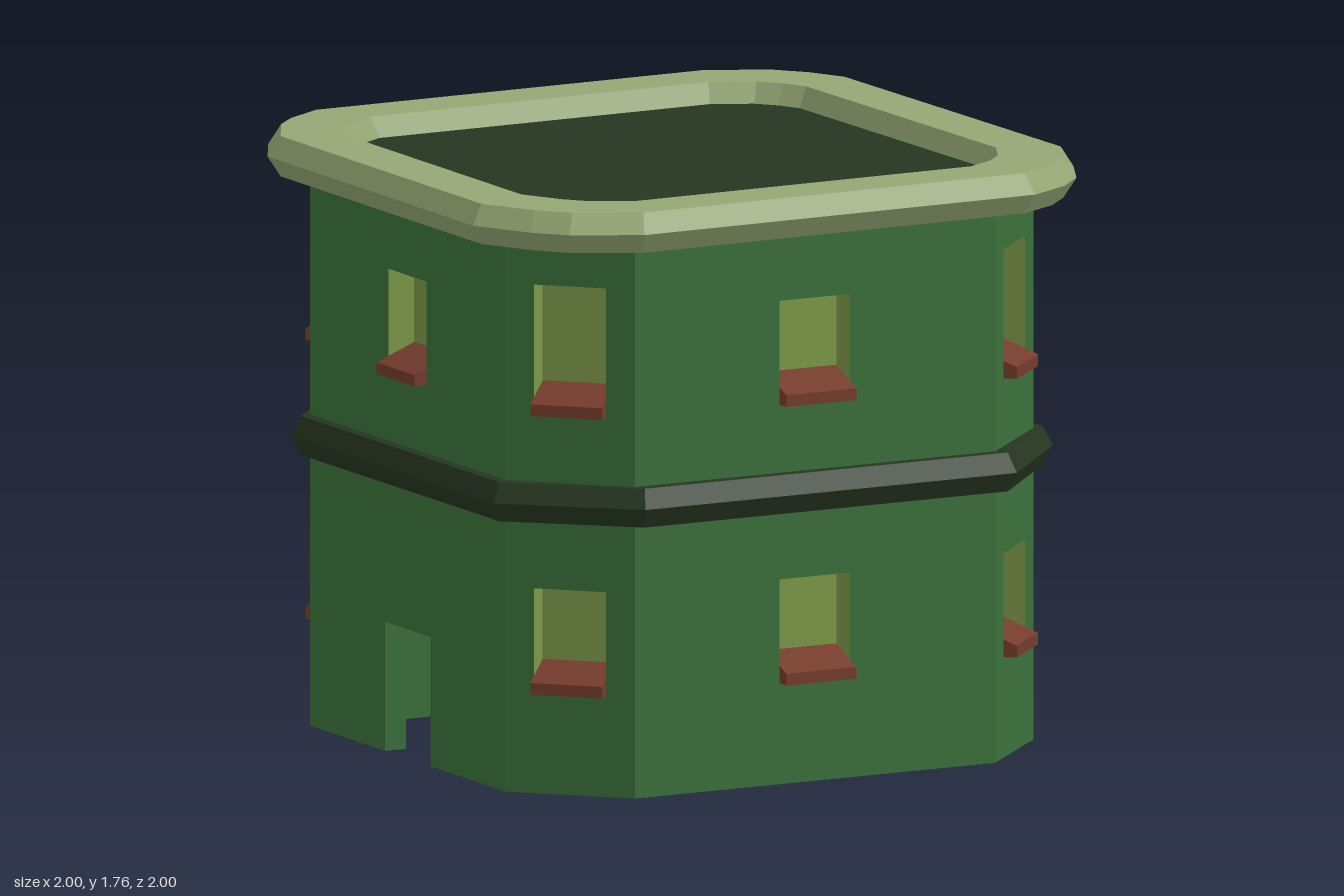
import * as THREE from 'three';

// All parts are open shells, so every surface shows from both sides
const mat = (color) => new THREE.MeshStandardMaterial({ color, side: THREE.DoubleSide, flatShading: true });
const wallMat = mat(0x3a703a);
const corniceMat = mat(0x95a673);
const darkMat = mat(0x253621);
const paneMat = mat(0x7d9848);
const sillMat = mat(0x753c2c);

const HALF = 0.88, FLAT = 0.6; // half width of the house and of its flat sides
const WALL_TOP = 1.74, ROOF_Y = 1.7, RECESS = 0.085;
const DOOR_W = 0.14, DOOR_H = 0.385; // half width and height of the doorways
const ROOM_X = 0.81, ROOM_Z = 0.56, ROOM_H = 0.69;

function add(parent, name, geometry, material) {
  const mesh = new THREE.Mesh(geometry, material);
  mesh.name = name;
  parent.add(mesh);
  return mesh;
}

const points = (pts) => pts.map(([x, y]) => new THREE.Vector2(x, y));

// Faceted surface from corner positions and triangles
function surface(pos, index) {
  const g = new THREE.BufferGeometry();
  g.setAttribute('position', new THREE.Float32BufferAttribute(pos, 3));
  g.setIndex(index);
  const flat = g.toNonIndexed();
  flat.computeVertexNormals();
  return flat;
}

// Upright wall outline, with a doorway cut out of its foot if wanted
function wallShape(halfWidth, top, hasDoor) {
  const outline = [[-halfWidth, 0]];
  if (hasDoor) outline.push([-DOOR_W, 0], [-DOOR_W, DOOR_H], [DOOR_W, DOOR_H], [DOOR_W, 0]);
  outline.push([halfWidth, 0], [halfWidth, top], [-halfWidth, top]);
  return new THREE.Shape(points(outline));
}

// Moulding: profile of [inward offset, y], from outer foot over the top to the inside, carried
// round a clockwise (x, z) path; offsets run halfway between the mitre and the centre
function moulding(path, profile) {
  const n = path.length, m = profile.length, pos = [], index = [];
  const inward = (a, b) => new THREE.Vector2(a[1] - b[1], b[0] - a[0]).normalize();
  path.forEach((p, i) => {
    const n1 = inward(path[(i + n - 1) % n], p), n2 = inward(p, path[(i + 1) % n]);
    const dir = n1.clone().add(n2).divideScalar(1 + n1.dot(n2));
    dir.sub(new THREE.Vector2(p[0], p[1])).multiplyScalar(0.5);
    profile.forEach(([o, y], j) => {
      pos.push(p[0] + dir.x * o, y, p[1] + dir.y * o);
      if (j === m - 1) return;
      const a = i * m + j, b = ((i + 1) % n) * m + j;
      index.push(a, a + 1, b, b, a + 1, b + 1);
    });
  });
  return surface(pos, index);
}

// Window recess: a box without its front face
function niche(w, h, d) {
  const g = new THREE.BoxGeometry(w, h, d);
  const index = Array.from(g.index.array);
  index.splice(24, 6);
  g.setIndex(index);
  return g;
}

// Sill open underneath: front, sloping top and two ends
function sillGeometry(width) {
  const section = [[0.04, 0], [0.04, 0.035], [-RECESS, 0.085], [-RECESS, 0]];
  const pos = [-width / 2, width / 2].flatMap((x) => section.flatMap(([z, y]) => [x, y, z]));
  const quads = [[0, 4, 5, 1], [1, 5, 6, 2], [4, 7, 6, 5], [0, 1, 2, 3]];
  return surface(pos, quads.flatMap(([a, b, c, d]) => [a, b, c, a, c, d]));
}

// One wall face with its windows, facing local +z
function wallFace(halfWidth, windowWidth, windows, hasDoor) {
  const face = new THREE.Group();
  const shape = wallShape(halfWidth, WALL_TOP, hasDoor);
  const w = windowWidth / 2;
  for (const [bottom, top] of windows) {
    shape.holes.push(new THREE.Path(points([[-w, bottom], [-w, top], [w, top], [w, bottom]])));
    const recess = add(face, 'windowRecess', niche(windowWidth, top - bottom, RECESS), paneMat);
    recess.position.set(0, (bottom + top) / 2, -RECESS / 2);
    add(face, 'windowSill', sillGeometry(windowWidth - 0.002), sillMat).position.y = bottom;
  }
  add(face, 'wall', new THREE.ShapeGeometry(shape), wallMat);
  return face;
}

// Doorway lining and the room wall behind it
function addDoorway(face) {
  const d = HALF - ROOM_X;
  for (const s of [1, -1]) {
    const jamb = new THREE.PlaneGeometry(d, DOOR_H).rotateY(-s * Math.PI / 2);
    add(face, 'doorJamb', jamb, wallMat).position.set(s * DOOR_W, DOOR_H / 2, -d / 2);
  }
  const lintel = new THREE.PlaneGeometry(2 * DOOR_W, d).rotateX(Math.PI / 2);
  add(face, 'doorLintel', lintel, wallMat).position.set(0, DOOR_H, -d / 2);
  add(face, 'roomEndWall', new THREE.ShapeGeometry(wallShape(ROOM_Z, ROOM_H, true)), wallMat).position.z = -d;
}

export function createModel() {
  const house = new THREE.Group();
  house.name = 'house';

  // Eight walls: flat sides and cut corners in turn, doorways on the left and right
  for (let i = 0; i < 8; i++) {
    const corner = i % 2 === 1, door = i % 4 === 2;
    const windows = [[1.13, corner ? 1.515 : 1.44]];
    if (!door) windows.push([0.3, 0.61]);
    const face = wallFace(corner ? (HALF - FLAT) / Math.SQRT2 : FLAT, corner ? 0.22 : 0.235, windows, door);
    face.name = corner ? 'cornerWall' : door ? 'doorWall' : 'sideWall';
    if (door) addDoorway(face);
    const angle = i * Math.PI / 4;
    const dist = corner ? (HALF + FLAT) / Math.SQRT2 : HALF;
    face.rotation.y = angle;
    face.position.set(Math.sin(angle) * dist, 0, Math.cos(angle) * dist);
    house.add(face);
  }

  // Long walls and ceiling of the room, which is open underneath
  for (const s of [1, -1]) {
    add(house, 'roomSideWall', new THREE.ShapeGeometry(wallShape(ROOM_X, ROOM_H, false)), wallMat).position.z = s * ROOM_Z;
  }
  const ceiling = new THREE.PlaneGeometry(2 * ROOM_X, 2 * ROOM_Z).rotateX(Math.PI / 2);
  add(house, 'roomCeiling', ceiling, wallMat).position.y = ROOM_H;

  // Flat roof, level with the inner edge of the cornice
  const roof = new THREE.Shape(points([
    [-FLAT, -HALF], [FLAT, -HALF], [HALF, -FLAT], [HALF, FLAT],
    [FLAT, HALF], [-FLAT, HALF], [-HALF, FLAT], [-HALF, -FLAT],
  ]));
  add(house, 'roof', new THREE.ShapeGeometry(roof).rotateX(-Math.PI / 2), darkMat).position.y = ROOF_Y;

  // Belt between the floors, its corners slightly turned
  const belt = [
    [-0.64, -0.94], [0.6, -0.945], [0.94, -0.64], [0.945, 0.6],
    [0.64, 0.94], [-0.6, 0.945], [-0.94, 0.64], [-0.945, -0.6],
  ];
  add(house, 'belt', moulding(belt,
    [[0.07, 0.812], [0.028, 0.812], [0, 0.87], [0.028, 0.928], [0.07, 0.928]]), darkMat);

  // Cornice with slightly uneven rounded corners, open underneath
  const rim = [
    [-0.69, -0.98], [0.64, -1], [0.83, -0.91], [0.915, -0.81],
    [0.975, -0.69], [1, 0.625], [0.92, 0.79], [0.83, 0.885],
    [0.685, 0.97], [-0.63, 0.995], [-0.825, 0.895], [-0.905, 0.8],
    [-1, 0.625], [-1, -0.64], [-0.9, -0.82], [-0.825, -0.895],
  ];
  add(house, 'cornice', moulding(rim,
    [[0.035, 1.64], [0, 1.7], [0.035, 1.76], [0.21, 1.76], [0.24, ROOF_Y]]), corniceMat);

  return house;
}
